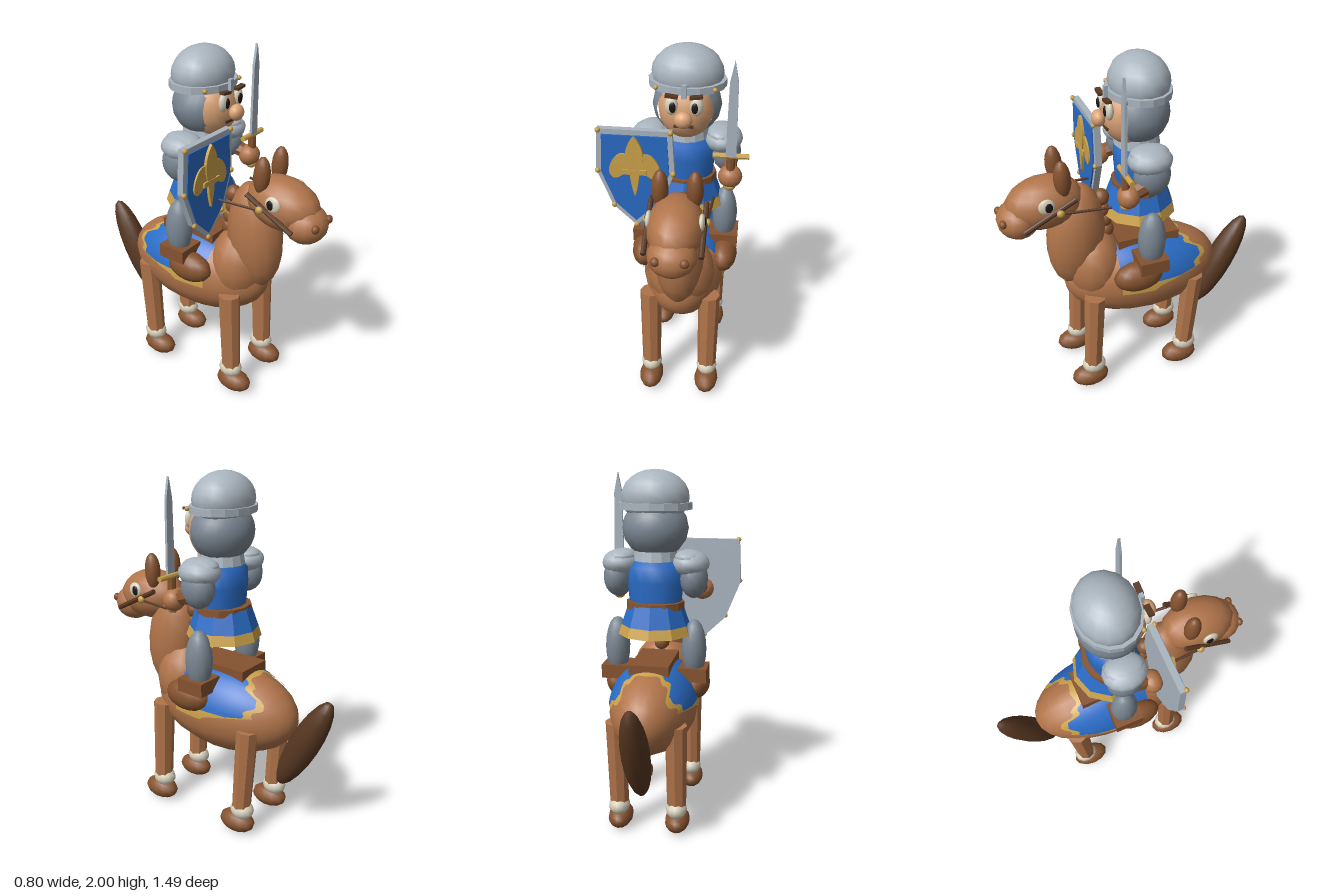
import * as THREE from 'three';

const mat = (name, color) => Object.assign(new THREE.MeshStandardMaterial({ color }), { name });
const coat = mat('horse coat brown', 0xb0744a), leather = mat('leather brown', 0x86532f);
const dark = mat('dark brown', 0x573721), steel = mat('light steel', 0xaab5bf);
const mail = mat('mail grey', 0x7c8894), blue = mat('cloth blue', 0x2a6cc6);
const gold = mat('gold', 0xcca24a), ivory = mat('ivory', 0xd8d2be);
const skin = mat('skin', 0xdca477), black = mat('black', 0x1c1613);

const V = (p) => new THREE.Vector3(...p);
const flat = (g) => {
  const f = g.index ? g.toNonIndexed() : g;
  f.computeVertexNormals();
  return f;
};

export function createModel() {
  const model = new THREE.Group();
  model.name = 'mountedKnight';
  const core = new THREE.Group();
  core.name = 'horseAndRider';
  core.position.x = 0.06;
  model.add(core);

  const add = (name, geometry, material, p = [0, 0, 0]) => {
    const m = new THREE.Mesh(geometry, material);
    m.name = name;
    m.position.set(...p);
    core.add(m);
    return m;
  };
  // Ellipsoid with its poles up, optionally tipped about x
  const blob = (name, material, p, r, tilt = 0, w = 14, h = 10) => {
    const m = add(name, new THREE.SphereGeometry(1, w, h), material, p);
    m.scale.set(...r);
    m.rotation.x = tilt;
    return m;
  };
  const box = (name, material, p, s) => add(name, new THREE.BoxGeometry(...s), material, p);
  // Faceted rod between two points
  const rod = (name, material, a, b, ra, rb = ra, sides = 8) => {
    const A = V(a), B = V(b);
    const m = add(name, flat(new THREE.CylinderGeometry(rb, ra, A.distanceTo(B), sides)), material);
    m.position.copy(A).lerp(B, 0.5);
    m.quaternion.setFromUnitVectors(new THREE.Vector3(0, 1, 0), B.sub(A).normalize());
    return m;
  };
  const drum = (name, material, y0, y1, r0, r1, z, sides, sz = 1) => {
    const m = add(name, flat(new THREE.CylinderGeometry(r1, r0, y1 - y0, sides)), material, [0, (y0 + y1) / 2, z]);
    m.scale.z = sz;
    return m;
  };

  // Horse trunk, neck and head
  const trunk = new THREE.SphereGeometry(1, 18, 14).rotateX(Math.PI / 2);
  add('horseBody', trunk, coat, [0, 0.69, -0.06]).scale.set(0.245, 0.26, 0.465);
  blob('horseChest', coat, [0, 0.79, 0.23], [0.19, 0.23, 0.17]);
  blob('horseNeck', coat, [0, 1.0, 0.325], [0.137, 0.32, 0.165], -0.1);
  blob('horseHead', coat, [0, 1.25, 0.49], [0.145, 0.145, 0.215], 0.12);
  blob('horseMuzzle', coat, [0, 1.175, 0.635], [0.125, 0.105, 0.115]);
  for (let i = 0; i < 4; i++) blob('mane', leather, [0, 1.0 + i * 0.07, 0.15 + i * 0.008], [0.045, 0.05, 0.045]);
  blob('tail', dark, [0, 0.59, -0.585], [0.076, 0.325, 0.085], -0.47);

  // Blanket: shell over the trunk with a stepped rear edge
  const edge = [[0, -0.25], [0.3, -0.23], [0.45, -0.29], [0.6, -0.27], [0.75, -0.36], [1.0, -0.37],
    [1.15, -0.31], [1.3, -0.33], [1.42, -0.17], [1.52, -0.05], [1.9, 0.1]];
  const rearEdge = (a) => {
    const i = Math.max(1, edge.findIndex((e) => e[0] >= a));
    const t = (a - edge[i - 1][0]) / (edge[i][0] - edge[i - 1][0]);
    return THREE.MathUtils.lerp(edge[i - 1][1], edge[i][1], t);
  };
  const shell = (name, material, s, max, margin) => {
    const n = 40, k = 14, pos = [], idx = [];
    for (let i = 0; i <= n; i++) for (let j = 0; j <= k; j++) {
      const a = (i / n * 2 - 1) * max;
      const z = THREE.MathUtils.lerp(rearEdge(Math.abs(a)) - margin, 0.13, j / k);
      const r = s * Math.sqrt(1 - ((z + 0.06) / 0.47) ** 2);
      pos.push(0.247 * r * Math.sin(a), 0.69 + 0.26 * r * Math.cos(a), z);
      if (i < n && j < k) {
        const q = i * (k + 1) + j;
        idx.push(q, q + 1, q + k + 1, q + 1, q + k + 2, q + k + 1);
      }
    }
    const g = new THREE.BufferGeometry();
    g.setAttribute('position', new THREE.Float32BufferAttribute(pos, 3));
    g.setIndex(idx);
    g.computeVertexNormals();
    add(name, g, material);
  };
  shell('blanketTrim', gold, 1.012, 1.6, 0.04);
  shell('blanket', blue, 1.026, 1.38, 0);
  box('saddle', leather, [0, 0.935, -0.07], [0.22, 0.06, 0.36]);

  // Torso, skirt and belt
  drum('skirtTrim', gold, 1.105, 1.16, 0.21, 0.192, -0.04, 10);
  drum('skirt', blue, 1.16, 1.275, 0.192, 0.152, -0.04, 10);
  drum('belt', leather, 1.25, 1.29, 0.165, 0.163, -0.04, 12, 0.9);
  const chest = [[0.145, 1.27], [0.158, 1.4], [0.155, 1.48], [0.1, 1.54], [0, 1.54]].map((p) => new THREE.Vector2(...p));
  add('tunic', new THREE.LatheGeometry(chest, 14), blue, [0, 0, -0.035]).scale.z = 0.8;
  drum('collar', steel, 1.515, 1.57, 0.125, 0.115, -0.03, 14);

  // Paired parts
  for (const s of [-1, 1]) {
    for (const [label, top, low, foot] of [['front', 0.275, 0.3, 0.32], ['rear', -0.325, -0.29, -0.262]]) {
      const x = s * 0.165;
      rod(label + 'Leg', coat, [x, 0.15, low], [x, 0.665, top], 0.054, 0.062, 8);
      blob(label + 'Sock', ivory, [x, 0.15, low - 0.005], [0.06, 0.055, 0.072], 0, 12, 8);
      blob(label + 'Hoof', leather, [x, 0.065, foot], [0.07, 0.063, 0.112], 0, 12, 8);
    }
    blob('horseEar', leather, [s * 0.087, 1.415, 0.405], [0.043, 0.105, 0.046], 0.05);
    blob('horseEye', ivory, [s * 0.131, 1.295, 0.505], [0.018, 0.045, 0.045]);
    blob('horsePupil', black, [s * 0.144, 1.295, 0.497], [0.008, 0.028, 0.022]);
    blob('nostril', leather, [s * 0.07, 1.2, 0.725], [0.024, 0.024, 0.02], 0, 10, 7);
    rod('bridle', dark, [s * 0.142, 1.17, 0.63], [s * 0.142, 1.315, 0.35], 0.014);
    blob('bridleBoss', gold, [s * 0.155, 1.255, 0.44], [0.018, 0.022, 0.022], 0, 10, 7);
    rod('rein', dark, [s * 0.15, 1.25, 0.44], [s * 0.165, 1.24, 0.17], 0.008, 0.008, 6);

    // Rider's limbs
    blob('riderLeg', mail, [s * 0.22, 1.02, -0.04], [0.07, 0.17, 0.078]);
    box('bootCuff', leather, [s * 0.22, 0.882, -0.035], [0.16, 0.078, 0.165]);
    blob('boot', leather, [s * 0.227, 0.797, 0.037], [0.077, 0.088, 0.143]);
    blob('shoulderGuard', steel, [s * 0.195, 1.5, -0.03], [0.105, 0.072, 0.12]);
    blob('shoulderCap', steel, [s * 0.185, 1.535, -0.03], [0.08, 0.04, 0.105]);
    blob('upperArm', mail, [s * 0.215, 1.42, -0.035], [0.078, 0.11, 0.1]);
    rod('forearm', leather, [s * 0.225, 1.39, -0.03], [s * 0.243, 1.345, 0.1], 0.05, 0.04, 8);
    blob('glove', coat, [s * 0.245, 1.34, 0.105], [0.065, 0.062, 0.06]);

    // Face pairs
    blob('eye', ivory, [s * 0.063, 1.74, 0.14], [0.034, 0.05, 0.022]);
    blob('pupil', black, [s * 0.056, 1.738, 0.16], [0.017, 0.028, 0.008]);
    box('eyebrow', dark, [s * 0.062, 1.794, 0.15], [0.065, 0.014, 0.03]).rotation.z = s * 0.12;
    blob('helmetRivet', gold, [s * 0.15, 1.81, 0.085], [0.013, 0.013, 0.013], 0, 8, 6);
  }

  // Head, hood and helmet
  blob('face', skin, [0, 1.69, 0.015], [0.148, 0.17, 0.143], 0, 16, 12);
  blob('nose', skin, [0, 1.68, 0.178], [0.047, 0.044, 0.037]);
  box('mouth', dark, [0, 1.632, 0.146], [0.1, 0.014, 0.012]);
  const hood = new THREE.SphereGeometry(1, 16, 10, 0, Math.PI * 2, 0.94, Math.PI - 0.94).rotateX(Math.PI / 2);
  add('mailHood', hood, mail, [0, 1.69, -0.03]).scale.set(0.182, 0.165, 0.17);
  blob('helmetDome', steel, [0, 1.855, -0.04], [0.188, 0.145, 0.158], 0, 16, 12);
  drum('helmetBrim', steel, 1.79, 1.827, 0.203, 0.203, -0.038, 16, 0.83);
  box('noseGuard', steel, [0, 1.815, 0.138], [0.026, 0.07, 0.02]);

  // Sword in the left hand
  const sx = 0.245, sz = 0.12;
  blob('pommel', gold, [sx, 1.29, sz], [0.032, 0.025, 0.03], 0, 10, 8);
  rod('swordGrip', leather, [sx, 1.3, sz], [sx, 1.46, sz], 0.023);
  rod('swordGuard', gold, [sx - 0.095, 1.467, sz], [sx + 0.095, 1.467, sz], 0.015);
  const tri = (pts) => new THREE.Shape(pts.map((p) => new THREE.Vector2(...p)));
  const extrude = (shape, depth) => new THREE.ExtrudeGeometry(shape, { depth, bevelEnabled: false, curveSegments: 8 });
  add('swordBlade', extrude(tri([[-0.028, 0], [0.028, 0], [0.022, 0.4], [0, 0.51], [-0.022, 0.4]]), 0.014), steel, [sx, 1.47, sz]);

  // Shield on the right arm, centred on its own axis
  const outline = [[-0.195, 1.615], [-0.208, 1.375], [-0.125, 1.165], [0, 1.045], [0.125, 1.165], [0.208, 1.375], [0.195, 1.615]];
  const inset = outline.map(([x, y]) => [x * 0.87, 1.36 + (y - 1.36) * 0.89]);
  add('shieldRim', extrude(tri([...outline].reverse()), 0.035), steel, [-0.25, 0, 0.15]);
  add('shieldField', extrude(tri([...inset].reverse()), 0.008), blue, [-0.25, 0, 0.185]);
  for (const [x, y] of outline) blob('shieldRivet', gold, [-0.25 + x * 0.96, 1.36 + (y - 1.36) * 0.98, 0.187], [0.015, 0.015, 0.013], 0, 8, 6);

  // Gold flower on the shield
  const petal = new THREE.Shape();
  petal.moveTo(0, 1.24);
  petal.quadraticCurveTo(0.022, 1.31, 0.025, 1.38);
  petal.quadraticCurveTo(0.08, 1.5, 0, 1.59);
  petal.quadraticCurveTo(-0.08, 1.5, -0.025, 1.38);
  petal.quadraticCurveTo(-0.022, 1.31, 0, 1.24);
  add('emblemPetal', extrude(petal, 0.016), gold, [-0.25, 0, 0.193]);
  for (const s of [-1, 1]) {
    const leaf = new THREE.Shape();
    leaf.moveTo(0, 1.37);
    leaf.lineTo(s * 0.06, 1.37);
    leaf.quadraticCurveTo(s * 0.085, 1.34, s * 0.115, 1.345);
    leaf.quadraticCurveTo(s * 0.15, 1.37, s * 0.125, 1.43);
    leaf.quadraticCurveTo(s * 0.09, 1.5, s * 0.045, 1.485);
    leaf.quadraticCurveTo(s * 0.03, 1.46, 0, 1.4);
    add('emblemLeaf', extrude(leaf, 0.009), gold, [-0.25, 0, 0.193]);
  }
  box('emblemBand', gold, [-0.25, 1.385, 0.203], [0.13, 0.028, 0.018]);

  return model;
}
